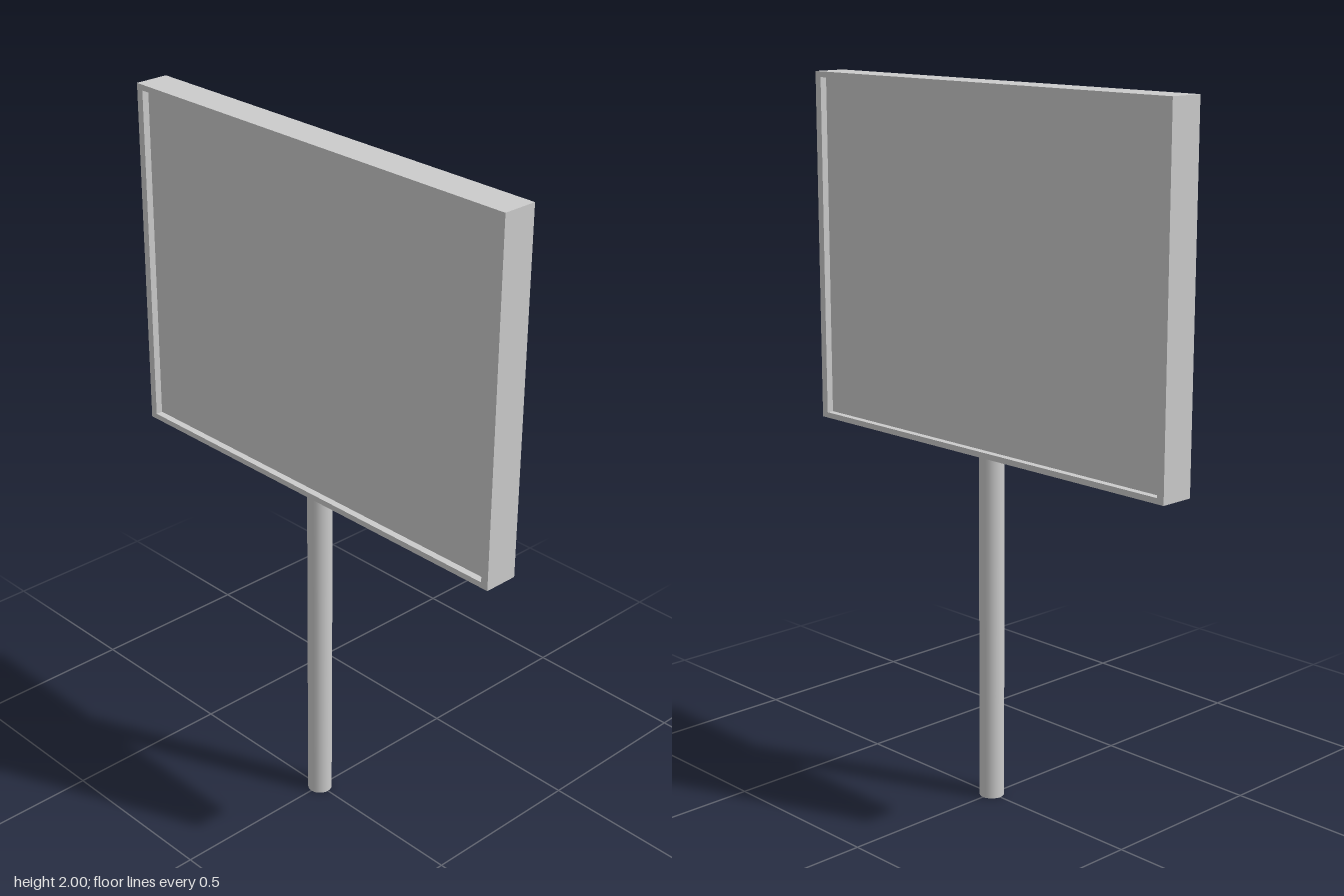
import * as THREE from 'three';

const WIDTH = 1.33, HEIGHT = 1, DEPTH = 0.1;
const BORDER_Z = 0.022, BORDER_Y = 0.016, RECESS = 0.02;
const POLE_RADIUS = 0.035, POLE_HEIGHT = 1;

// Counter-clockwise rectangle centred on the origin
function rectangle(Type, w, h) {
  return new Type([[-1, -1], [1, -1], [1, 1], [-1, 1]]
    .map(([x, y]) => new THREE.Vector2(x * w / 2, y * h / 2)));
}

export function createModel() {
  const group = new THREE.Group();
  const grey = new THREE.MeshStandardMaterial({ color: 0xcccccc });
  const openGrey = new THREE.MeshStandardMaterial({ color: 0xcccccc, side: THREE.DoubleSide });

  const add = (name, geometry, material, y) => {
    const mesh = new THREE.Mesh(geometry, material);
    mesh.name = name;
    mesh.position.y = y;
    group.add(mesh);
  };

  const innerW = WIDTH - 2 * BORDER_Z, innerH = HEIGHT - 2 * BORDER_Y;
  const boardY = POLE_HEIGHT + HEIGHT / 2;

  // Frame around the board, open towards both sides
  const outline = rectangle(THREE.Shape, WIDTH, HEIGHT);
  outline.holes.push(rectangle(THREE.Path, innerW, innerH));
  const frame = new THREE.ExtrudeGeometry(outline, { depth: DEPTH, bevelEnabled: false });
  frame.translate(0, 0, -DEPTH / 2).rotateY(Math.PI / 2);
  add('signFrame', frame, grey, boardY);

  // Display panel, set back on both faces
  add('displayPanel', new THREE.BoxGeometry(DEPTH - 2 * RECESS, innerH, innerW), grey, boardY);

  // Hollow pole
  add('pole', new THREE.CylinderGeometry(POLE_RADIUS, POLE_RADIUS, POLE_HEIGHT, 24, 1, true),
    openGrey, POLE_HEIGHT / 2);

  return group;
}
